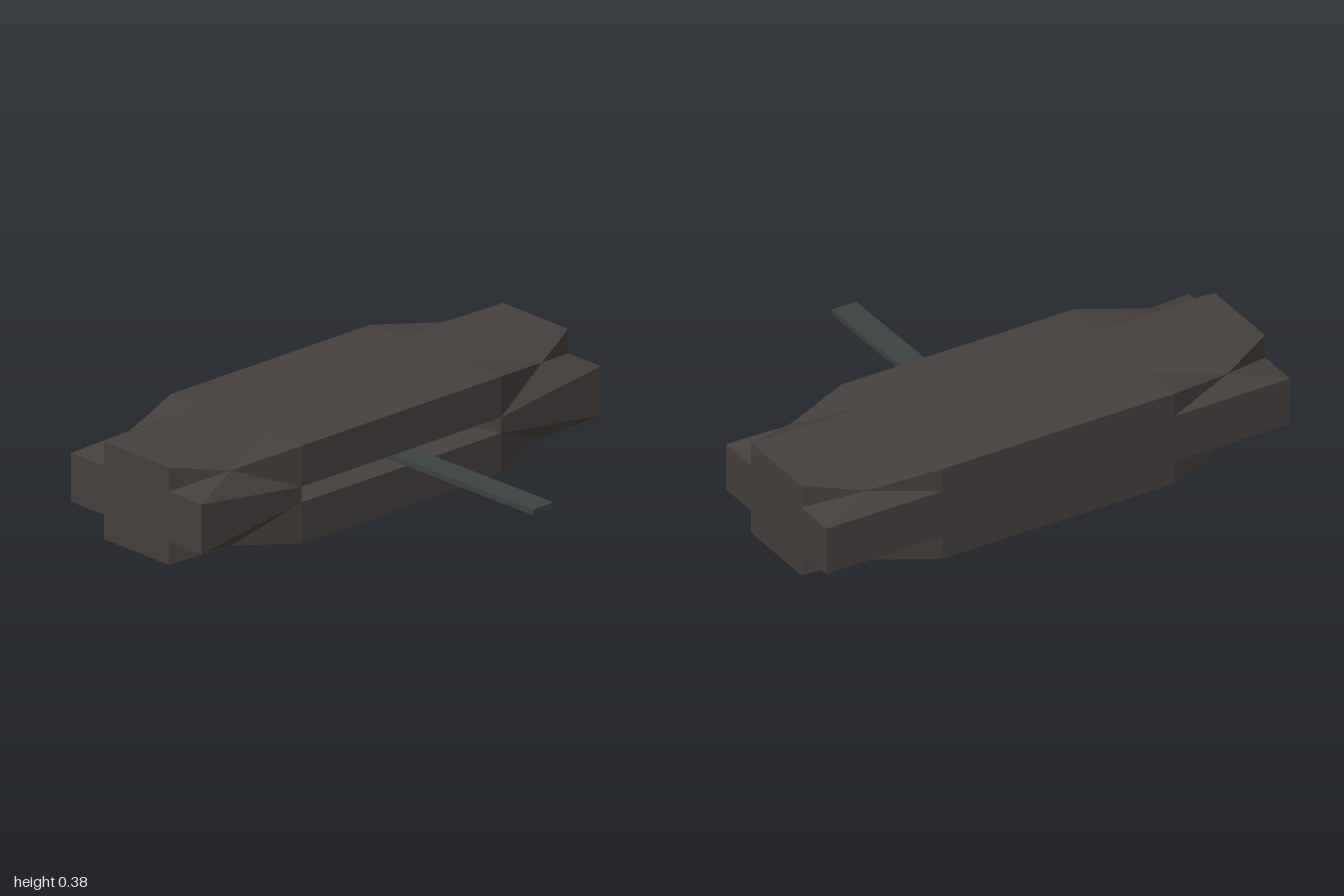
import * as THREE from 'three';

// Body half sizes, then the cuts that define the notched corners and the slot
const HX = 0.35, HY = 0.1925, HZ = 1;
const IX = 0.175, IY = 0.097, IZ = 0.5;
const SLOT_Y = 0.031, SLOT_IN_Y = 0.016, SLOT_IN_Z = 0.44, SLOT_IN_X = 0.25;

// Collects quads for one eighth of the body and mirrors them by sign
function bodyGeometry() {
  const pos = [];

  for (const sx of [1, -1]) for (const sy of [1, -1]) for (const sz of [1, -1]) {
    const flip = sx * sy * sz < 0;
    const tri = (...points) => {
      if (flip) points.reverse();
      points.forEach(([x, y, z]) => pos.push(x * sx, y * sy, z * sz));
    };
    // The quad is split along its a-c diagonal
    const quad = (a, b, c, d) => { tri(a, b, c); tri(a, c, d); };

    const hasSlot = sx > 0;
    const sideY = hasSlot ? SLOT_Y : IY;
    const A = [HX, HY, IZ], B = [IX, HY, HZ], C = [HX, IY, HZ];
    const D = [IX, IY, HZ], E = [IX, HY, IZ], S = [HX, sideY, IZ];
    const M = [0.27, 0.148, 0.78]; // corner pushed inwards

    // Top or bottom
    quad([0, HY, 0], [0, HY, IZ], A, [HX, HY, 0]);
    quad([0, HY, IZ], [0, HY, HZ], B, E);
    quad(E, B, M, A);

    // Cross-shaped end and its sunken corner
    quad([0, 0, HZ], [HX, 0, HZ], C, [0, IY, HZ]);
    quad([0, IY, HZ], D, B, [0, HY, HZ]);
    quad(D, C, M, B);

    // Long side
    quad([HX, 0, IZ], S, C, [HX, 0, HZ]);
    quad(S, A, M, C);
    quad([HX, hasSlot ? SLOT_Y : 0, 0], [HX, HY, 0], A, [HX, hasSlot ? SLOT_Y : 0, IZ]);

    // Tapering slot recess
    if (hasSlot) {
      const R = [SLOT_IN_X, SLOT_IN_Y, SLOT_IN_Z];
      const R0 = [SLOT_IN_X, SLOT_IN_Y, 0], Rz = [SLOT_IN_X, 0, SLOT_IN_Z];
      quad([HX, SLOT_Y, 0], S, R, R0);
      quad(S, [HX, 0, IZ], Rz, R);
      quad([SLOT_IN_X, 0, 0], R0, R, Rz);
    }
  }

  const geometry = new THREE.BufferGeometry();
  geometry.setAttribute('position', new THREE.Float32BufferAttribute(pos, 3));
  geometry.computeVertexNormals();
  return geometry;
}

export function createModel() {
  const model = new THREE.Group();
  model.name = 'slottedBlock';

  const body = new THREE.Mesh(
    bodyGeometry(),
    new THREE.MeshStandardMaterial({ color: 0x453f3d, flatShading: true })
  );
  body.name = 'body';
  body.position.set(-0.357, HY, 0);
  model.add(body);

  // Thin strip coming out of the slot, turned very slightly
  const strip = new THREE.Mesh(
    new THREE.BoxGeometry(0.816, 0.022, 0.105),
    new THREE.MeshStandardMaterial({ color: 0x3c4240, flatShading: true })
  );
  strip.name = 'strip';
  strip.position.set(0.298, 0.196, -0.042);
  strip.rotation.y = 0.014;
  model.add(strip);

  return model;
}
